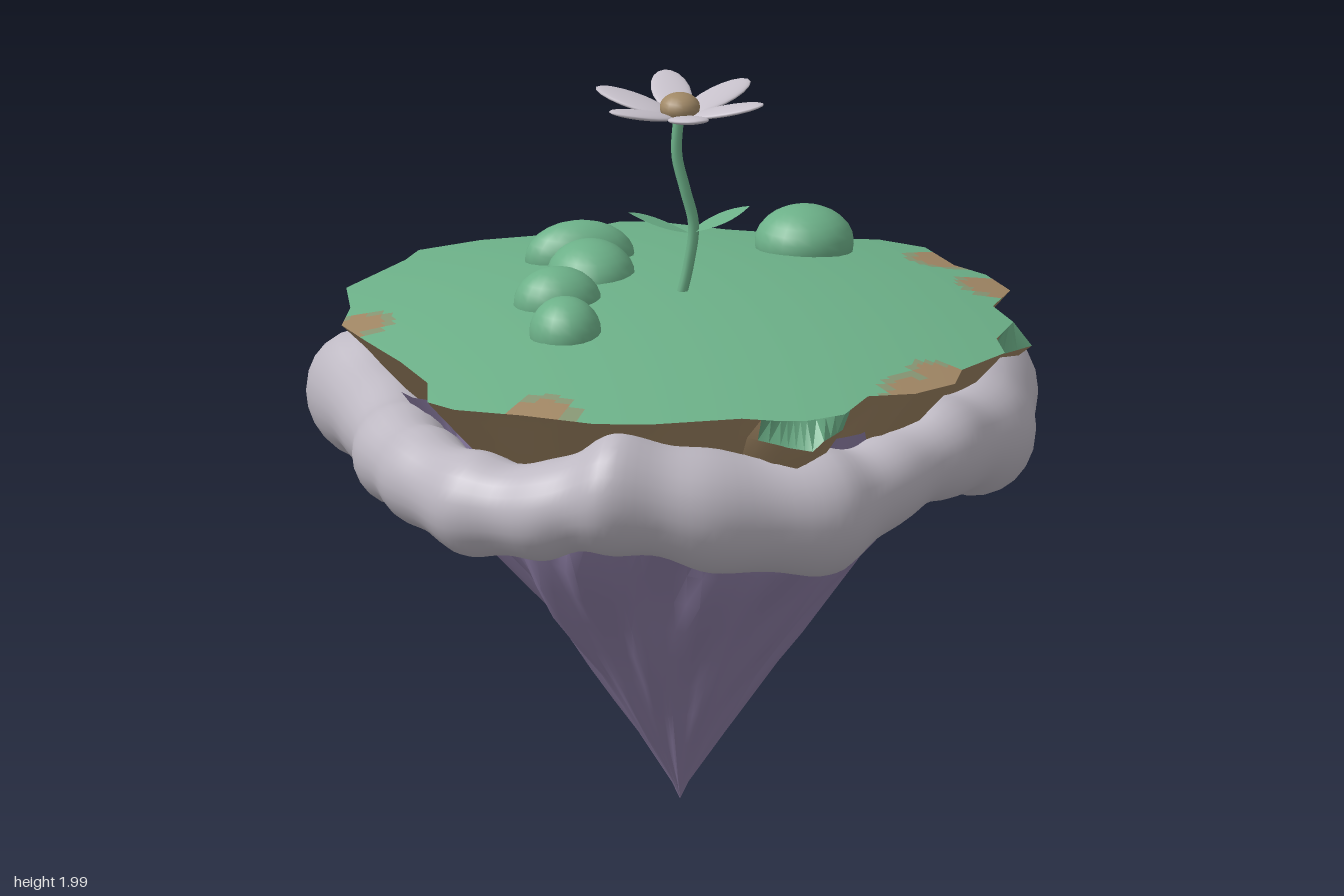
import * as THREE from 'three';
import { toCreasedNormals } from 'three/addons/utils/BufferGeometryUtils.js';

const V = (x, y, z) => new THREE.Vector3(x, y, z);
const material = (name, color, extra = {}) => {
  const m = new THREE.MeshStandardMaterial({ color, ...extra });
  m.name = name;
  return m;
};

// Joins closed rings of points, ordered so faces look outward; slot(centre) picks a material index
function loft(rings, slot = () => 0) {
  const n = rings[0].length, lists = [[], [], []];
  for (let i = 0; i < rings.length - 1; i++) {
    for (let j = 0; j < n; j++) {
      const k = (j + 1) % n;
      const a = i * n + j, b = a + n, c = i * n + k, d = c + n;
      const mid = rings[i][j].clone().add(rings[i + 1][j]).add(rings[i][k]).add(rings[i + 1][k]).multiplyScalar(0.25);
      lists[slot(mid)].push(a, b, c, c, b, d);
    }
  }
  const g = new THREE.BufferGeometry().setFromPoints(rings.flat());
  g.setIndex(lists.flat());
  let start = 0;
  lists.forEach((list, i) => {
    if (list.length) g.addGroup(start, list.length, i);
    start += list.length;
  });
  g.computeVertexNormals();
  return g;
}

// Island rim seen from above, as x, z pairs
const RIM = [
  [-0.02, -0.94], [0.08, -0.92], [0.25, -0.82], [0.42, -0.75], [0.5, -0.7], [0.64, -0.66],
  [0.75, -0.57], [0.8, -0.4], [0.87, -0.3], [0.91, -0.15], [0.84, -0.02], [0.87, 0.13],
  [0.8, 0.27], [0.8, 0.4], [0.66, 0.53], [0.62, 0.65], [0.5, 0.72], [0.37, 0.72],
  [0.28, 0.87], [0.17, 0.91], [0.1, 0.9], [0, 0.86], [-0.25, 0.87], [-0.4, 0.84],
  [-0.58, 0.73], [-0.75, 0.65], [-0.81, 0.57], [-0.78, 0.4], [-0.82, 0.2], [-0.88, 0],
  [-0.92, -0.15], [-0.87, -0.3], [-0.85, -0.48], [-0.65, -0.7], [-0.6, -0.78], [-0.42, -0.84], [-0.2, -0.86],
];
// Bare soil spots on the grass, and lumps of soil jutting past the rim with turf on top
const BARE = [[-0.18, -0.87], [0.77, -0.43], [0.86, -0.17], [0.6, 0.59], [0.51, 0.7], [-0.53, 0.73], [-0.88, -0.13]];
const JUTS = [[0.87, 0.13], [0.17, 0.91]];
const reach = (spots, x, z) => Math.min(...spots.map(([a, b]) => Math.hypot(x - a, z - b)));

// Cloud lumps: x, y, z, radius
const LUMPS = [
  [0.75, 1.14, 0.02, 0.2], [0.72, 1.1, 0.31, 0.175], [0.59, 1.12, 0.5, 0.14], [0.43, 1.08, 0.63, 0.125],
  [0.24, 1.04, 0.74, 0.175], [-0.08, 1.08, 0.81, 0.17], [-0.33, 1.14, 0.79, 0.175], [-0.5, 1.07, 0.7, 0.14],
  [-0.67, 1.05, 0.55, 0.145], [-0.77, 1.06, 0.31, 0.135], [-0.79, 1.05, 0.08, 0.14], [-0.78, 1.05, -0.17, 0.14],
  [-0.79, 1.05, -0.47, 0.18], [-0.62, 1.05, -0.67, 0.14], [-0.46, 1.05, -0.74, 0.12], [-0.28, 1.06, -0.83, 0.165],
  [-0.04, 1.1, -0.81, 0.11], [0.14, 1.1, -0.79, 0.165], [0.43, 1.12, -0.66, 0.16], [0.67, 1.09, -0.33, 0.165],
];

export function createModel() {
  const root = new THREE.Group();
  const grass = material('grass green', 0x6cb088, { side: THREE.DoubleSide });
  const dryGrass = material('dry grass', 0x879674);
  const soil = material('soil brown', 0xa08664);
  const stone = material('stone purple', 0x8e7fa6);
  const cloud = material('cloud grey', 0xbdb8c2);
  const petal = material('petal white', 0xc8c2cc);
  const pollen = material('pollen tan', 0xa08866);
  const add = (name, geometry, mat, parent = root) => {
    const mesh = new THREE.Mesh(geometry, mat);
    mesh.name = name;
    parent.add(mesh);
    return mesh;
  };

  // Crumpled rock cone hanging to a point
  const profile = [[0.01, 0], [0.06, 0.022], [0.2, 0.112], [0.3, 0.178], [0.4, 0.245], [0.5, 0.32], [0.6, 0.395],
    [0.7, 0.47], [0.8, 0.545], [0.9, 0.6], [1, 0.65], [1.1, 0.695], [1.22, 0.74]];
  const rockRings = profile.map(([y, r]) => Array.from({ length: 84 }, (_, j) => {
    const a = (j / 84) * Math.PI * 2;
    const s = r * (1 + 0.035 * Math.sin(5 * a + 3 * y) + 0.03 * Math.sin(11 * a - 6 * y + 1)
      + 0.025 * Math.sin(19 * a + 9 * y + 2) + 0.02 * Math.sin(7 * a + 14 * y));
    return V(-0.02 + 0.01 * y + s * Math.cos(a), y, s * Math.sin(a));
  }));
  add('rock', toCreasedNormals(loft(rockRings), 0.55), stone);

  // Rim points, each side cut in four
  const rim = RIM.flatMap(([x, z], i) => {
    const [p, q] = RIM[(i + 1) % RIM.length];
    return [0, 0.25, 0.5, 0.75].map((t) => [x + (p - x) * t, z + (q - z) * t]);
  });

  // Domed grass, worn to bare soil in spots by the rim
  const steps = [...Array.from({ length: 16 }, (_, i) => 1 - i * 0.016), 0.68, 0.55, 0.4, 0.2, 0];
  const grassRings = steps.map((t) => rim.map(([x, z]) => V(x * t, 1.35 + 0.095 * (1 - t * t), z * t)));
  const worn = ({ x, z }) => {
    const d = reach(BARE, x, z);
    return d < 0.075 ? 2 : d < 0.1 ? 1 : 0;
  };
  const grassGeometry = loft(grassRings, worn);
  // Even dome shading, whatever the rim does
  grassRings.flat().forEach((p, i) => {
    const normal = V(p.x * 0.25, 1, p.z * 0.25).normalize();
    grassGeometry.attributes.normal.setXYZ(i, normal.x, normal.y, normal.z);
  });
  add('grassTop', grassGeometry, [grass, dryGrass, soil]);

  // Broken soil edge under the grass
  const soilRings = [[1.06, 0.7, 0, 0], [1.215, 0.86, 0.03, 0.1], [1.285, 0.93, 0.025, 0.13], [1.35, 1, 0, 0]]
    .map(([y, s, rough, jut], k) => rim.map(([x, z], j) => {
      const jag = rough * Math.sin(Math.floor(j / 4) * 2.4 + k);
      const out = s + jag + jut * Math.max(0, 1 - reach(JUTS, x, z) / 0.16);
      return V(x * out, y + jag * 0.8, z * out);
    }));
  const turf = (p) => (p.y > 1.29 && reach(JUTS, p.x, p.z) < 0.14 ? 1 : 0);
  add('soilEdge', toCreasedNormals(loft(soilRings, turf), 0.3), [soil, grass]);

  // Lumpy ring of cloud, pinched between the lumps
  const path = new THREE.CatmullRomCurve3(LUMPS.map(([x, y, z]) => V(x, y, z)), true);
  const girth = new THREE.CatmullRomCurve3(LUMPS.map((l) => V(l[3], 0, 0)), true, 'catmullrom');
  const around = LUMPS.length * 10;
  const cloudRings = Array.from({ length: 25 }, (_, i) => {
    const v = -Math.PI + (i / 24) * Math.PI * 2;
    return Array.from({ length: around }, (_, j) => {
      const c = path.getPoint(j / around);
      const r = girth.getPoint(j / around).x * (1 - 0.11 * Math.sin((j / 10) * Math.PI) ** 2);
      const out = V(c.x, 0, c.z).normalize();
      return c.addScaledVector(out, r * Math.cos(v)).add(V(0, r * Math.sin(v), 0));
    });
  });
  add('cloudRing', loft(cloudRings), cloud);

  // Round bushes: x, z, then half sizes
  [[-0.22, -0.43, 0.15, 0.09], [-0.22, -0.25, 0.12, 0.135], [-0.35, -0.03, 0.12, 0.1],
    [-0.375, 0.24, 0.098, 0.108], [0.4, -0.46, 0.135, 0.132]].forEach(([x, z, rx, rz]) => {
    const bush = add('bush', new THREE.SphereGeometry(1, 20, 14), grass);
    bush.position.set(x, 1.42, z);
    bush.scale.set(rx, 0.1, rz);
  });

  // Flower: curved stem, two leaves, six petals
  const flower = new THREE.Group();
  flower.name = 'flower';
  root.add(flower);
  const stem = new THREE.CatmullRomCurve3([V(-0.018, 1.42, -0.005), V(0.005, 1.52, -0.005), V(0.018, 1.63, -0.005),
    V(-0.005, 1.73, -0.005), V(-0.027, 1.83, -0.01), V(-0.02, 1.95, -0.012)]);
  add('stem', new THREE.TubeGeometry(stem, 30, 0.015, 8), grass, flower);

  const blade = new THREE.Shape();
  blade.moveTo(0, 0);
  blade.quadraticCurveTo(0.1, 0.09, 0.18, 0);
  blade.quadraticCurveTo(0.1, -0.09, 0, 0);
  const bladeGeometry = new THREE.ShapeGeometry(blade, 8).rotateX(-Math.PI / 2).rotateZ(0.38);
  [0, Math.PI].forEach((turn) => {
    const l = add('leaf', bladeGeometry, grass, flower);
    l.position.set(0.005, 1.607, -0.005);
    l.rotation.y = turn;
  });

  const head = new THREE.Group();
  head.name = 'flowerHead';
  head.position.set(-0.018, 1.953, -0.013);
  flower.add(head);
  const petalGeometry = new THREE.SphereGeometry(1, 18, 12).scale(0.11, 0.011, 0.054)
    .rotateZ(0.25).translate(0.134, 0.012, 0);
  for (let i = 0; i < 6; i++) {
    add('petal', petalGeometry, petal, head).rotation.y = Math.PI / 6 + (i * Math.PI) / 3;
  }
  const eye = add('flowerCentre', new THREE.SphereGeometry(0.055, 16, 12), pollen, head);
  eye.scale.y = 0.72;
  eye.position.y = 0.008;

  return root;
}
